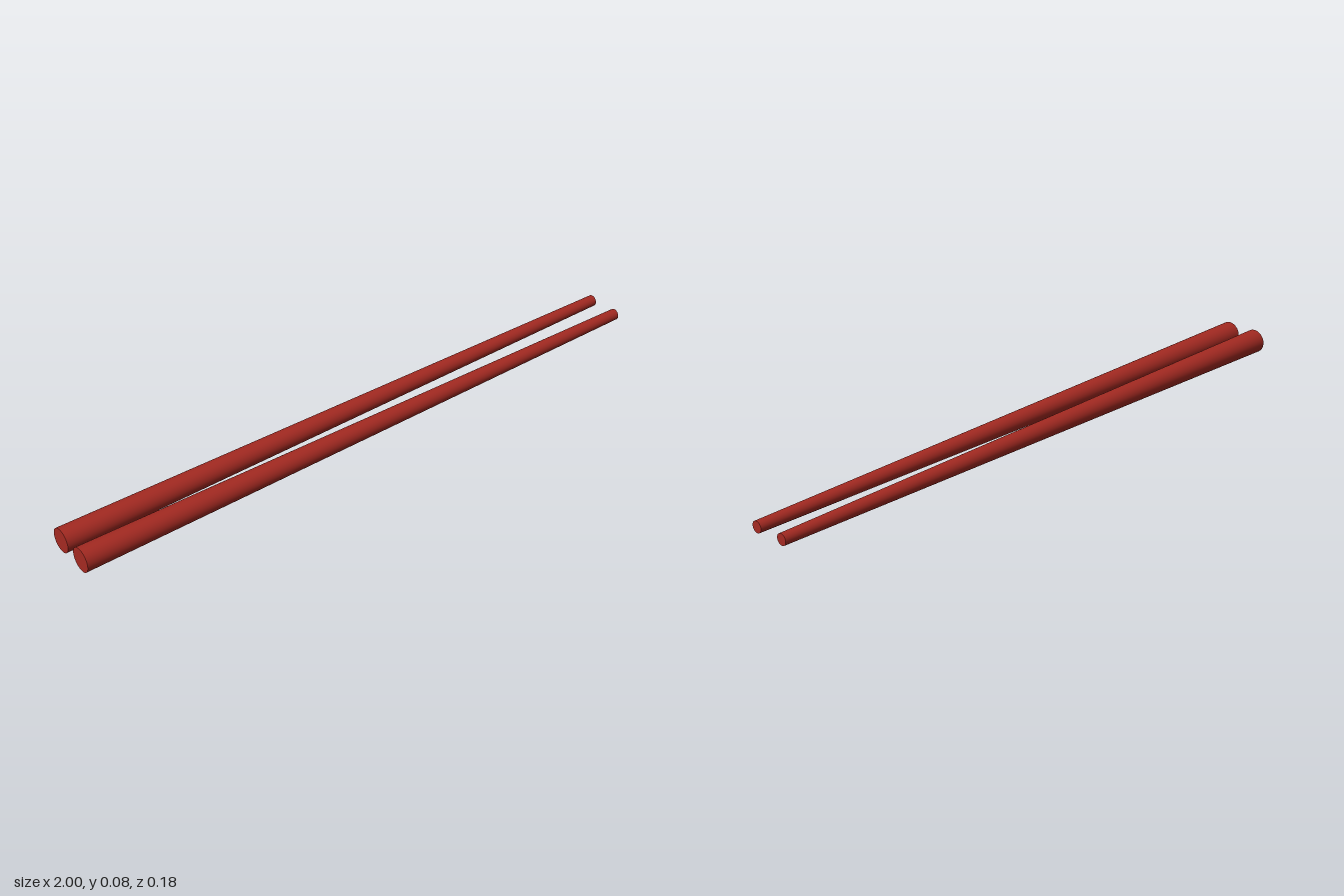
import * as THREE from 'three';

const LENGTH = 2;
const THICK_RADIUS = 0.038;
const TIP_RADIUS = 0.018;
const SPACING = 0.104;

export function createModel() {
  const model = new THREE.Group();
  model.name = 'chopsticks';

  const lacquer = new THREE.MeshStandardMaterial({ color: 0xa52a22 });

  // Tapered round stick lying along x, narrow tip towards +x
  const stick = new THREE.CylinderGeometry(TIP_RADIUS, THICK_RADIUS, LENGTH, 48);
  stick.rotateZ(-Math.PI / 2);

  // Matching pair, side by side
  for (const [name, side] of [['frontChopstick', 1], ['backChopstick', -1]]) {
    const mesh = new THREE.Mesh(stick, lacquer);
    mesh.name = name;
    mesh.position.set(0, THICK_RADIUS, side * SPACING / 2);
    model.add(mesh);
  }

  return model;
}
